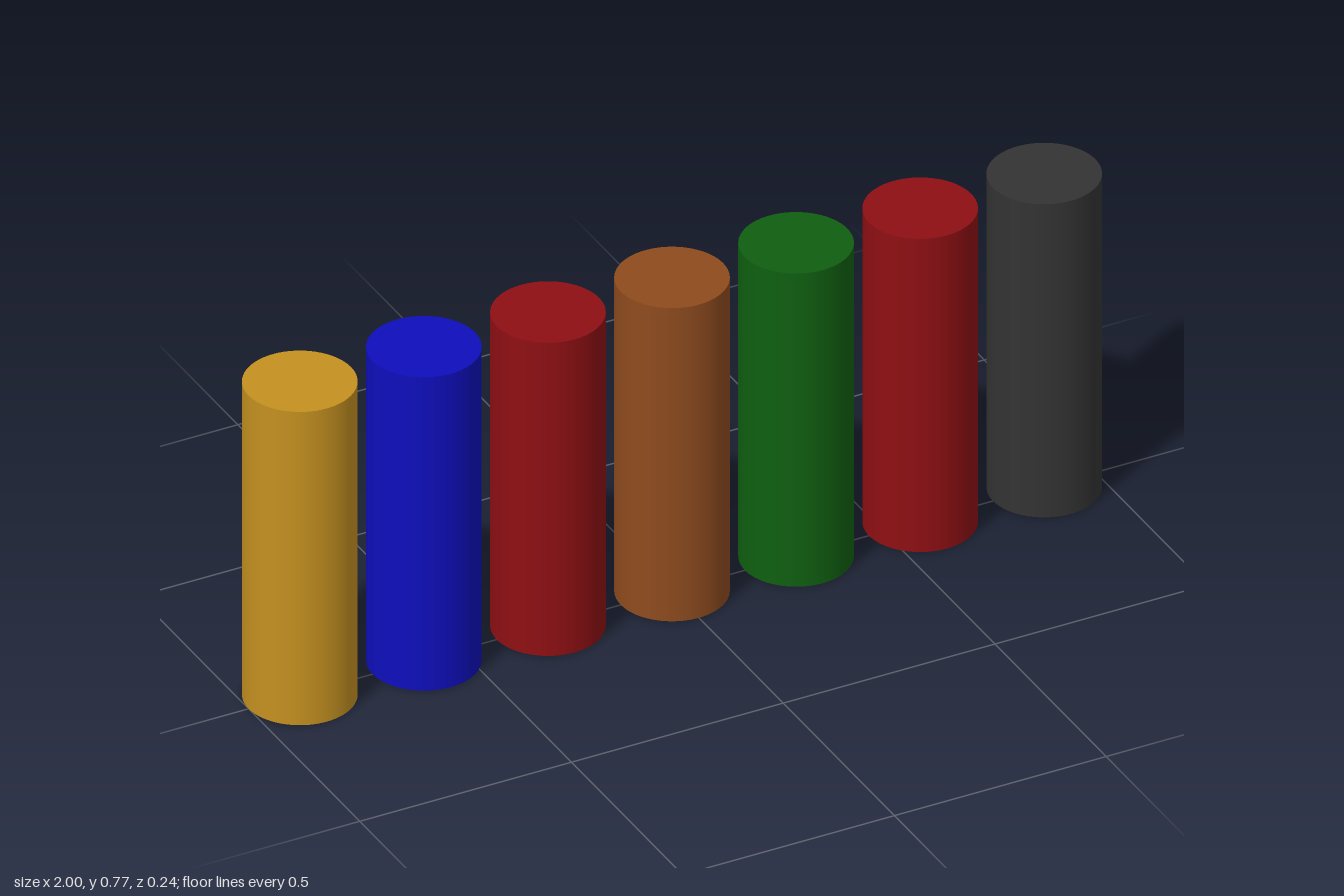
import * as THREE from 'three';

const RADIUS = 0.121;
const HEIGHT = 0.773;
const SEGMENTS = 64;

// Tubes in order from the model's right (-x) to its left (+x)
const TUBES = [
  ['gold', 0xc49020],
  ['blue', 0x0e0ebc],
  ['redRight', 0x8e0f13],
  ['brown', 0x8e4b1e],
  ['green', 0x0f5f10],
  ['redLeft', 0x8e0f13],
  ['black', 0x333333],
];

export function createModel() {
  const model = new THREE.Group();
  model.name = 'tubeRow';

  // Shared shapes: a wall open at the bottom and a flat lid
  const wallGeometry = new THREE.CylinderGeometry(RADIUS, RADIUS, HEIGHT, SEGMENTS, 1, true);
  wallGeometry.translate(0, HEIGHT / 2, 0);
  const lidGeometry = new THREE.CircleGeometry(RADIUS, SEGMENTS);
  lidGeometry.rotateX(-Math.PI / 2);
  lidGeometry.translate(0, HEIGHT, 0);

  const spacing = (2 - 2 * RADIUS) / (TUBES.length - 1);

  TUBES.forEach(([name, color], i) => {
    const material = new THREE.MeshStandardMaterial({ color, side: THREE.DoubleSide });
    const tube = new THREE.Group();
    tube.name = `${name}Tube`;
    tube.position.x = -1 + RADIUS + i * spacing;

    const wall = new THREE.Mesh(wallGeometry, material);
    wall.name = `${name}Wall`;
    const lid = new THREE.Mesh(lidGeometry, material);
    lid.name = `${name}Lid`;

    tube.add(wall, lid);
    model.add(tube);
  });

  return model;
}
